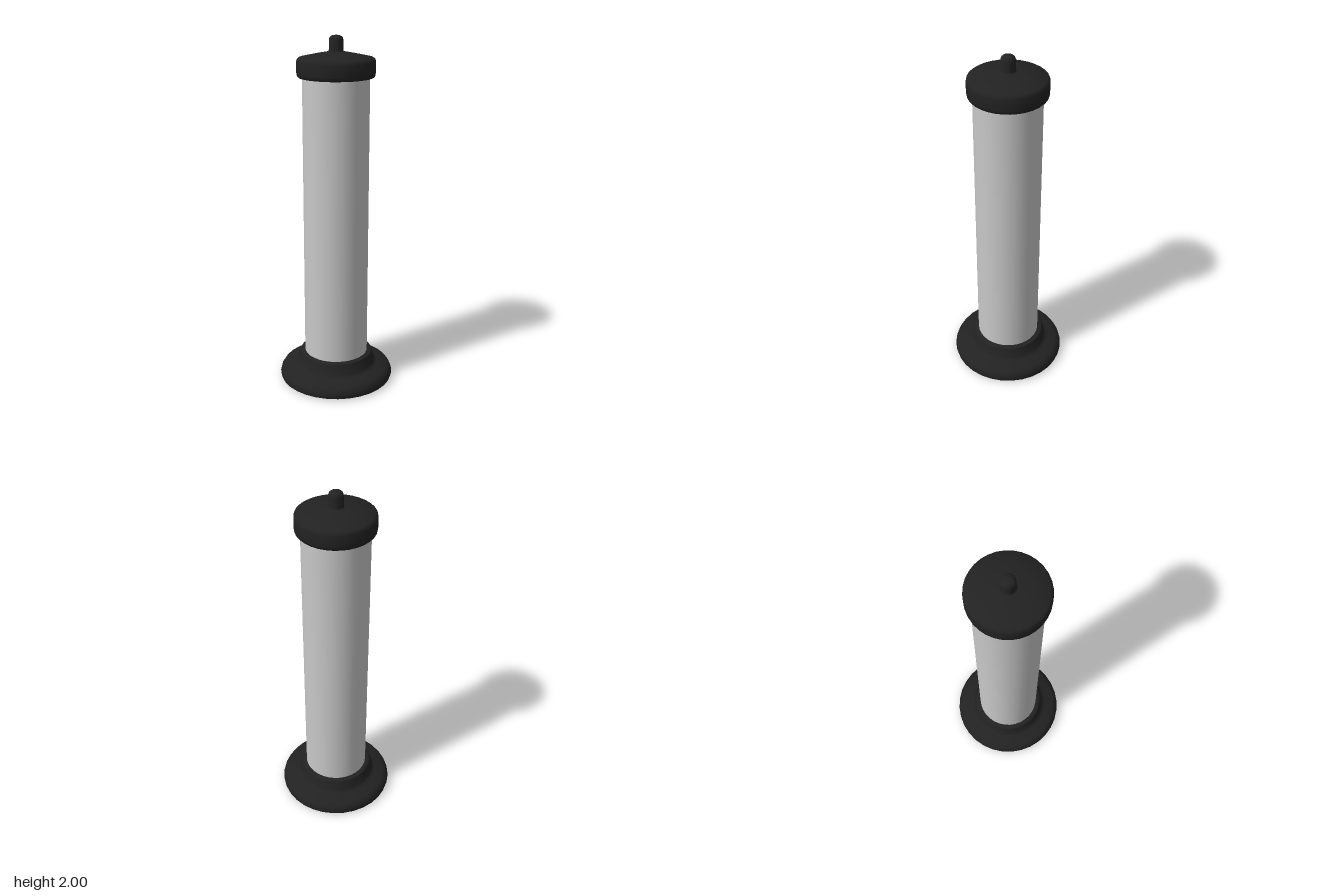
import * as THREE from 'three';
import { toCreasedNormals } from 'three/addons/utils/BufferGeometryUtils.js';

const SIDES = 32;

// Turned part from [radius, height] pairs, bottom to top
function turned(name, profile, material) {
  const points = profile.map(([r, y]) => new THREE.Vector2(r, y));
  const geometry = toCreasedNormals(new THREE.LatheGeometry(points, SIDES), 0.7);
  const mesh = new THREE.Mesh(geometry, material);
  mesh.name = name;
  return mesh;
}

export function createModel() {
  const black = new THREE.MeshStandardMaterial({ color: 0x222222 });
  black.name = 'black plastic';
  const grey = new THREE.MeshStandardMaterial({ color: 0xc8c8c8 });
  grey.name = 'light grey';

  const group = new THREE.Group();
  group.name = 'column';

  // Flared foot with a collar holding the tube
  group.add(turned('base', [
    [0, 0], [0.315, 0], [0.328, 0.008], [0.332, 0.025], [0.327, 0.045],
    [0.316, 0.063], [0.3, 0.073], [0.25, 0.084], [0.235, 0.09],
    [0.226, 0.102], [0.214, 0.148], [0.21, 0.16], [0.2, 0.166], [0, 0.166],
  ], black));

  // Straight tube
  const tube = new THREE.Mesh(new THREE.CylinderGeometry(0.184, 0.184, 1.66, SIDES, 1, true), grey);
  tube.position.y = 0.98;
  tube.name = 'tube';
  group.add(tube);

  // Lid with rounded rim and shallow conical top
  group.add(turned('cap', [
    [0, 1.778], [0.204, 1.778], [0.211, 1.785], [0.214, 1.8], [0.214, 1.862],
    [0.21, 1.875], [0.2, 1.882], [0.12, 1.899], [0.046, 1.913], [0, 1.913],
  ], black));

  // Small domed knob
  group.add(turned('knob', [
    [0.046, 1.909], [0.041, 1.915], [0.039, 1.925], [0.039, 1.975],
    [0.035, 1.988], [0.025, 1.996], [0.012, 1.999], [0, 2],
  ], black));

  return group;
}
